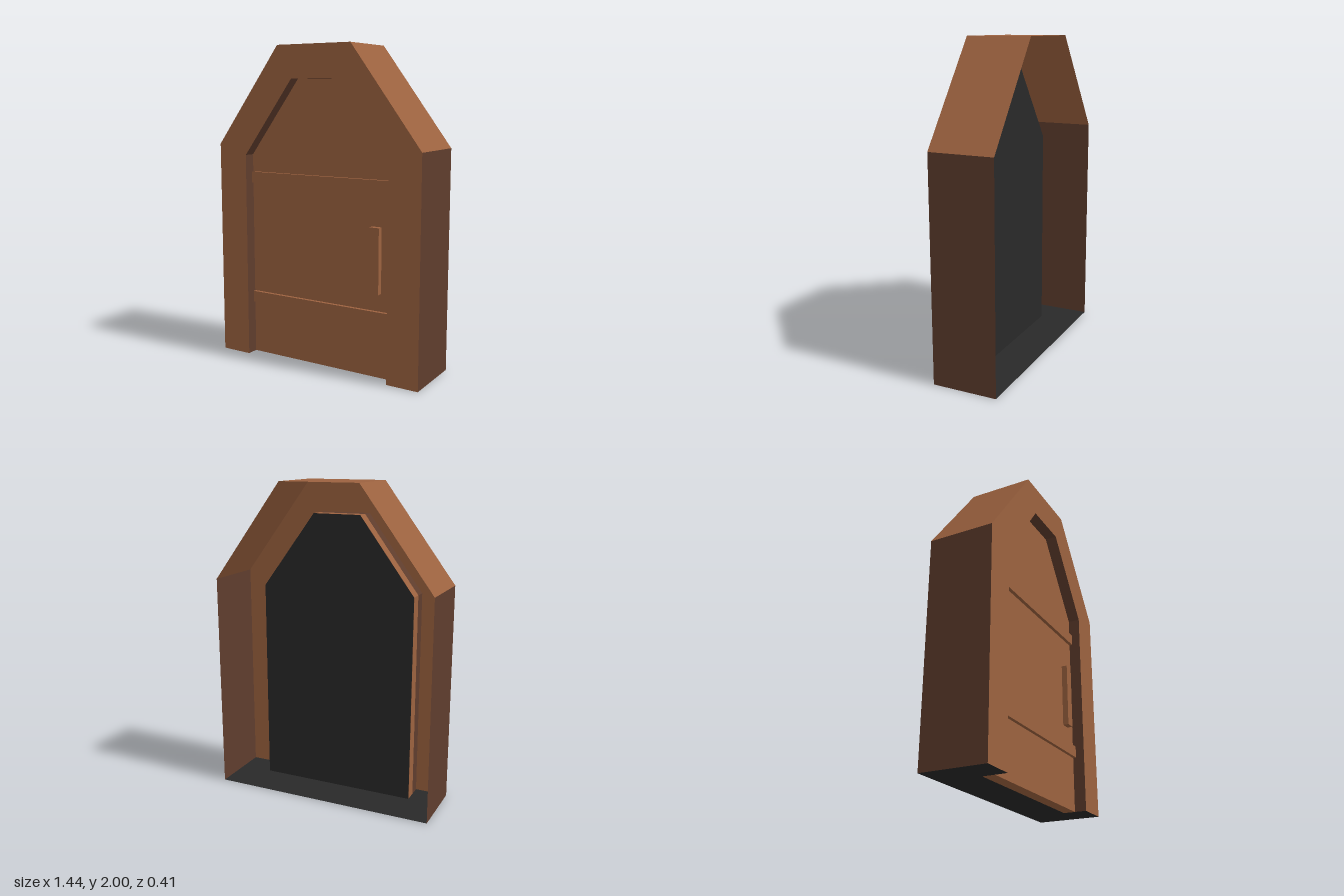
import * as THREE from 'three';

const makeMaterial = (name, color) => {
  const mat = new THREE.MeshStandardMaterial({ color, side: THREE.DoubleSide });
  mat.name = name;
  return mat;
};
const wood = makeMaterial('brown wood', 0x9c623f);
const darkWood = makeMaterial('dark brown wood', 0x5f3d2d);
const dark = makeMaterial('dark backing', 0x292929);

const BACK = -0.205, FRONT = 0.205, DOOR_BACK = 0.055, DOOR_FRONT = 0.13;

// Clipped arch outline, from bottom left over the top to bottom right
const arch = (w, shoulder, topW, top) =>
  [[-w, 0], [-w, shoulder], [-topW, top], [topW, top], [w, shoulder], [w, 0]];
const outer = arch(0.718, 1.386, 0.257, 2);
const inner = arch(0.512, 1.321, 0.156, 1.798);

const toShape = (pts) => new THREE.Shape(pts.map(([x, y]) => new THREE.Vector2(x, y)));

// Open band that follows an outline between two depths, facing outward
function band(pts, z0, z1) {
  const pos = [];
  for (let i = 0; i < pts.length - 1; i++) {
    const [ax, ay] = pts[i], [bx, by] = pts[i + 1];
    pos.push(ax, ay, z0, ax, ay, z1, bx, by, z1);
    pos.push(ax, ay, z0, bx, by, z1, bx, by, z0);
  }
  const geo = new THREE.BufferGeometry();
  geo.setAttribute('position', new THREE.Float32BufferAttribute(pos, 3));
  geo.computeVertexNormals();
  return geo;
}

export function createModel() {
  const model = new THREE.Group();
  model.name = 'archedDoor';
  const add = (name, geo, mat, x = 0, y = 0, z = 0) => {
    const mesh = new THREE.Mesh(geo, mat);
    mesh.name = name;
    mesh.position.set(x, y, z);
    model.add(mesh);
    return mesh;
  };

  // Hollow frame: front face, roof, dark side walls and dark reveal around the door
  add('frameFront', new THREE.ShapeGeometry(toShape([...outer, ...[...inner].reverse()])), wood, 0, 0, FRONT);
  add('frameRoof', band(outer.slice(1, 5), BACK, FRONT), wood);
  add('rightWall', band(outer.slice(0, 2), BACK, FRONT), darkWood);
  add('leftWall', band(outer.slice(4), BACK, FRONT), darkWood);
  add('frameReveal', band(inner, DOOR_FRONT, FRONT), darkWood);

  // Floor with a notch under the doorway
  const floor = new THREE.ShapeGeometry(toShape([
    [-0.718, BACK], [0.718, BACK], [0.718, FRONT], [0.512, FRONT],
    [0.512, DOOR_BACK], [-0.512, DOOR_BACK], [-0.512, FRONT], [-0.718, FRONT],
  ]));
  floor.rotateX(Math.PI / 2);
  add('floor', floor, dark);

  // Door slab and its dark back
  const slab = new THREE.ExtrudeGeometry(toShape(inner), { depth: DOOR_FRONT - DOOR_BACK, bevelEnabled: false });
  add('door', slab, wood, 0, 0, DOOR_BACK);
  const backing = add('doorBacking', new THREE.ShapeGeometry(toShape(inner)), dark, 0, 0, DOOR_BACK - 0.004);
  backing.rotation.y = Math.PI;

  // Cross bars and handle
  for (const [name, y] of [['lowerBar', 0.38], ['upperBar', 1.174]]) {
    add(name, new THREE.BoxGeometry(1.012, 0.072, 0.022), wood, 0, y, DOOR_FRONT + 0.011);
  }
  add('handle', new THREE.BoxGeometry(0.064, 0.404, 0.036), wood, 0.4, 0.728, DOOR_FRONT + 0.018);

  return model;
}
